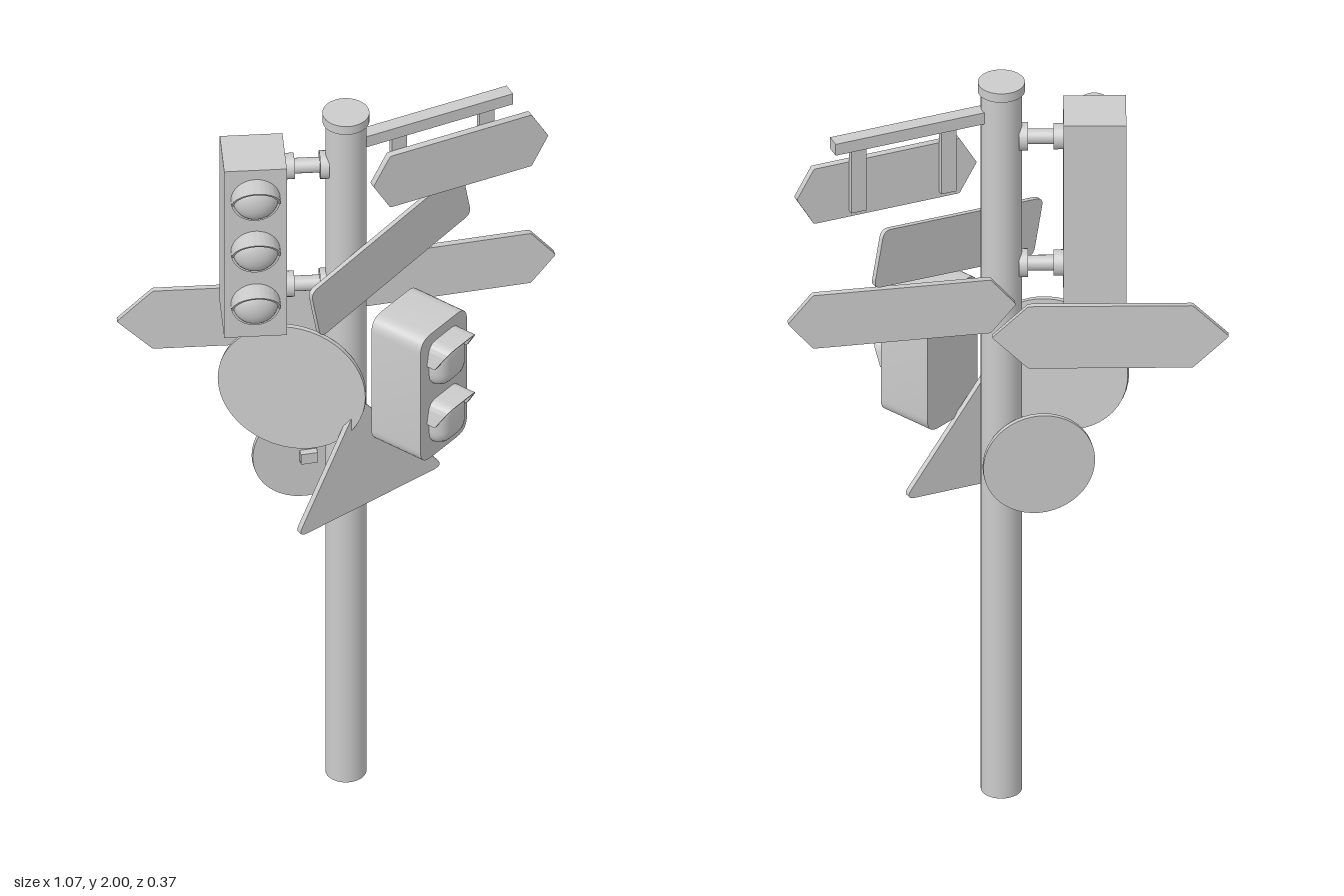
import * as THREE from 'three';
import { toCreasedNormals } from 'three/addons/utils/BufferGeometryUtils.js';

const grey = new THREE.MeshStandardMaterial({ color: 0xcccccc, side: THREE.DoubleSide });
const POLE_X = 0.013;

function add(parent, name, geometry, x = 0, y = 0, z = 0) {
  const mesh = new THREE.Mesh(geometry, grey);
  mesh.name = name;
  mesh.position.set(x, y, z);
  parent.add(mesh);
  return mesh;
}

// Polygon outline with rounded corners
function roundedShape(points, r) {
  const pts = points.map(([x, y]) => new THREE.Vector2(x, y));
  const shape = new THREE.Shape();
  pts.forEach((p, i) => {
    const prev = pts[(i + pts.length - 1) % pts.length];
    const next = pts[(i + 1) % pts.length];
    const a = p.clone().add(prev.clone().sub(p).setLength(r));
    const b = p.clone().add(next.clone().sub(p).setLength(r));
    if (i === 0) shape.moveTo(a.x, a.y); else shape.lineTo(a.x, a.y);
    shape.quadraticCurveTo(p.x, p.y, b.x, b.y);
  });
  shape.closePath();
  return shape;
}

const rect = (w, h, r) =>
  roundedShape([[-w / 2, -h / 2], [w / 2, -h / 2], [w / 2, h / 2], [-w / 2, h / 2]], r);

// Plate of the given outline, centred on its own thickness
function plate(shape, depth) {
  const g = new THREE.ExtrudeGeometry(shape, { depth, bevelEnabled: false, curveSegments: 6 });
  return toCreasedNormals(g.translate(0, 0, -depth / 2), 0.6);
}

// Six-sided board with a point at each end
function pointedBoard(length, height, taper, depth) {
  const l = length / 2, c = l - taper, h = height / 2;
  return plate(roundedShape([[-l, 0], [-c, -h], [c, -h], [l, 0], [c, h], [-c, h]], 0.004), depth);
}

// Hood that is longest along its top edge
function hood(shape, depth, top, drop) {
  const g = new THREE.ExtrudeGeometry(shape, { depth, bevelEnabled: false, curveSegments: 16 });
  const p = g.attributes.position;
  for (let i = 0; i < p.count; i++) {
    const t = Math.min(1, Math.max(0, (top - p.getY(i)) / drop));
    p.setZ(i, p.getZ(i) * (1 - 0.6 * t));
  }
  g.computeVertexNormals();
  return toCreasedNormals(g, 0.6);
}

function disc(r, depth) {
  return new THREE.CylinderGeometry(r, r, depth, 48).rotateX(Math.PI / 2);
}

function rodX(r, length) {
  return new THREE.CylinderGeometry(r, r, length, 20).rotateZ(Math.PI / 2);
}

// Three round lamps in a tall box, held by two arms
function threeLampSignal() {
  const g = new THREE.Group();
  g.name = 'threeLampSignal';
  add(g, 'signalBox', new THREE.BoxGeometry(0.152, 0.505, 0.143), -0.213, 1.6525, 0.0185);
  const visor = new THREE.Shape();
  visor.absarc(0, 0, 0.06, 0, Math.PI, false);
  visor.absarc(0, 0, 0.054, Math.PI, 0, true);
  for (const y of [1.817, 1.66, 1.5]) {
    const lens = add(g, 'roundLens', new THREE.SphereGeometry(0.055, 28, 18), -0.213, y, 0.09);
    lens.scale.z = 0.65;
    add(g, 'lensRim', disc(0.06, 0.01), -0.213, y, 0.092);
    add(g, 'roundVisor', hood(visor, 0.059, 0.06, 0.06), -0.213, y, 0.09);
  }
  for (const y of [1.845, 1.487]) {
    add(g, 'arm', rodX(0.019, 0.13), -0.08, y, 0);
    add(g, 'boxFlange', rodX(0.032, 0.024), -0.125, y, 0);
    add(g, 'poleFlange', rodX(0.035, 0.022), -0.04, y, 0);
  }
  return g;
}

// Two square lamps in a rounded box
function twoLampSignal() {
  const g = new THREE.Group();
  g.name = 'twoLampSignal';
  g.position.set(0.187, 1.232, 0.05);
  g.rotation.y = THREE.MathUtils.degToRad(48);
  add(g, 'signalBox', plate(rect(0.184, 0.375, 0.04), 0.15));
  const pillow = new THREE.ExtrudeGeometry(rect(0.05, 0.06, 0.012), {
    depth: 0.005, bevelSize: 0.033, bevelThickness: 0.035, bevelSegments: 6, curveSegments: 4,
  });
  const lensGeometry = toCreasedNormals(pillow, 0.7);
  const band = roundedShape([
    [-0.067, 0], [-0.067, 0.066], [0.067, 0.066], [0.067, 0],
    [0.059, 0], [0.053, 0.058], [-0.053, 0.058], [-0.059, 0],
  ], 0.004);
  const hoodShape = new THREE.Shape();
  hoodShape.moveTo(-0.067, 0.01);
  hoodShape.lineTo(-0.06, 0.045);
  hoodShape.quadraticCurveTo(-0.055, 0.07, -0.03, 0.07);
  hoodShape.lineTo(0.03, 0.07);
  hoodShape.quadraticCurveTo(0.055, 0.07, 0.06, 0.045);
  hoodShape.lineTo(0.067, 0.01);
  hoodShape.lineTo(0.059, 0.01);
  hoodShape.lineTo(0.052, 0.044);
  hoodShape.quadraticCurveTo(0.048, 0.062, 0.03, 0.062);
  hoodShape.lineTo(-0.03, 0.062);
  hoodShape.quadraticCurveTo(-0.048, 0.062, -0.052, 0.044);
  hoodShape.lineTo(-0.059, 0.01);
  hoodShape.closePath();
  for (const y of [0.088, -0.088]) {
    add(g, 'squareLens', lensGeometry, 0, y, 0.072);
    add(g, 'squareHood', hood(hoodShape, 0.062, 0.07, 0.06), 0, y, 0.074);
  }
  return g;
}

// Board hanging from a bar that leaves the pole
function hangingSign() {
  const g = new THREE.Group();
  g.name = 'hangingSign';
  g.position.set(POLE_X, 0, 0.008);
  g.rotation.y = THREE.MathUtils.degToRad(21.5);
  add(g, 'bar', new THREE.BoxGeometry(0.44, 0.032, 0.036), 0.22, 1.913, 0);
  for (const x of [0.14, 0.375]) {
    add(g, 'hanger', new THREE.BoxGeometry(0.04, 0.185, 0.016), x, 1.81, 0);
  }
  add(g, 'hangingBoard', pointedBoard(0.47, 0.155, 0.045, 0.018), 0.296, 1.777, 0.017);
  return g;
}

export function createModel() {
  const model = new THREE.Group();
  model.name = 'signPost';

  // Pole with cap
  add(model, 'pole', new THREE.CylinderGeometry(0.05, 0.05, 1.98, 40), POLE_X, 0.99, 0);
  add(model, 'poleCap', new THREE.CylinderGeometry(0.057, 0.057, 0.025, 40), POLE_X, 1.9875, 0);

  model.add(threeLampSignal(), twoLampSignal(), hangingSign());

  // Direction boards behind the pole
  add(model, 'rightDirectionBoard', pointedBoard(0.574, 0.175, 0.088, 0.014), -0.25, 1.333, -0.089);
  const left = add(model, 'leftDirectionBoard', pointedBoard(0.56, 0.15, 0.062, 0.016), 0.256, 1.42, -0.119);
  left.rotation.y = THREE.MathUtils.degToRad(8.9);

  // Tilted rectangular plate
  const slanted = add(model, 'slantedPlate', plate(rect(0.52, 0.155, 0.022), 0.012), 0.12, 1.556, -0.016);
  slanted.rotation.set(0, THREE.MathUtils.degToRad(40), THREE.MathUtils.degToRad(12));

  // Large round sign in front
  const large = add(model, 'largeRoundSign', disc(0.183, 0.012), -0.119, 1.19, 0.02);
  large.rotation.y = THREE.MathUtils.degToRad(-17);

  // Small round sign behind, with its clamp
  const small = add(model, 'smallRoundSign', disc(0.137, 0.012), -0.077, 0.947, -0.046);
  small.rotation.y = THREE.MathUtils.degToRad(8.7);
  add(small, 'clamp', new THREE.BoxGeometry(0.042, 0.03, 0.02), 0, -0.012, 0.014);

  // Triangular sign
  const outline = roundedShape([[-0.215, 0], [0.215, 0], [0, 0.325]], 0.03);
  const triangle = add(model, 'triangularSign', plate(outline, 0.015), 0.066, 0.845, 0.035);
  triangle.rotation.set(0, THREE.MathUtils.degToRad(30), THREE.MathUtils.degToRad(5.3));

  return model;
}
